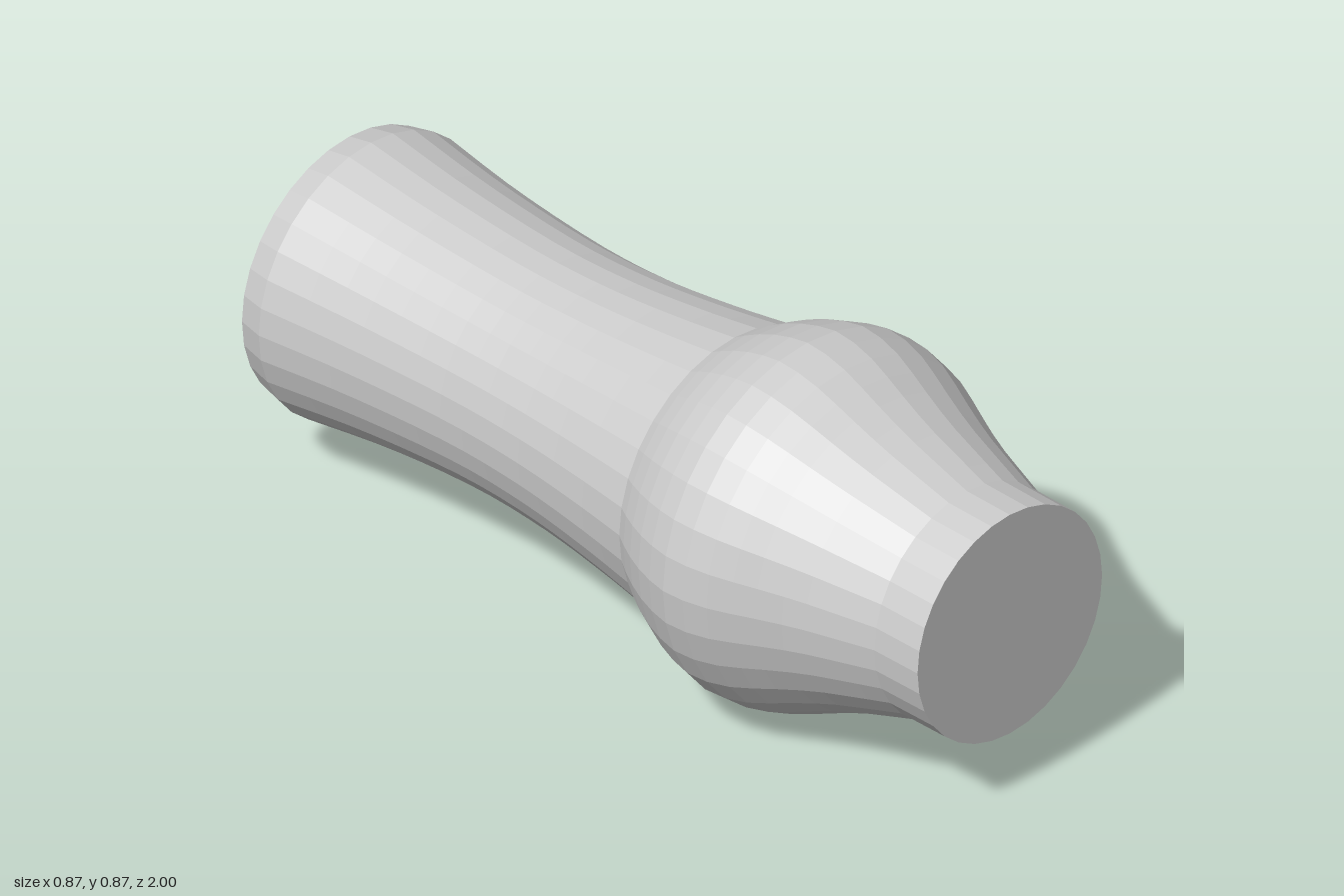
import * as THREE from 'three';

const SIDES = 32;
const AXIS_HEIGHT = 0.434;
const v = (r, z) => new THREE.Vector2(r, z);
const material = new THREE.MeshStandardMaterial({ color: 0xcccccc, flatShading: true });

// Turned part: profile of (radius, z) from back to front, spun around the z axis
function turned(name, profile) {
  const geometry = new THREE.LatheGeometry(profile, SIDES);
  geometry.rotateX(Math.PI / 2);
  const mesh = new THREE.Mesh(geometry, material);
  mesh.name = name;
  return mesh;
}

export function createModel() {
  const group = new THREE.Group();
  group.name = 'turnedHandle';

  // Waisted shaft with a chamfered rim and a flat back end
  const waist = new THREE.SplineCurve([
    v(0.337, -0.935), v(0.308, -0.7), v(0.291, -0.42), v(0.298, -0.2), v(0.32, 0), v(0.345, 0.165),
  ]).getPoints(18);
  group.add(turned('shaft', [v(0, -1), v(0.323, -1), ...waist]));

  // Rounded bulb tapering towards the front collar
  const bulb = new THREE.SplineCurve([
    v(0.345, 0.165), v(0.383, 0.23), v(0.416, 0.31), v(0.434, 0.4), v(0.416, 0.5),
    v(0.377, 0.59), v(0.337, 0.685), v(0.309, 0.77), v(0.278, 0.87),
  ]).getPoints(14);
  group.add(turned('bulb', bulb));

  // Straight collar with a flat front end
  group.add(turned('collar', [v(0.278, 0.87), v(0.277, 1), v(0, 1)]));

  group.position.y = AXIS_HEIGHT;
  return group;
}
